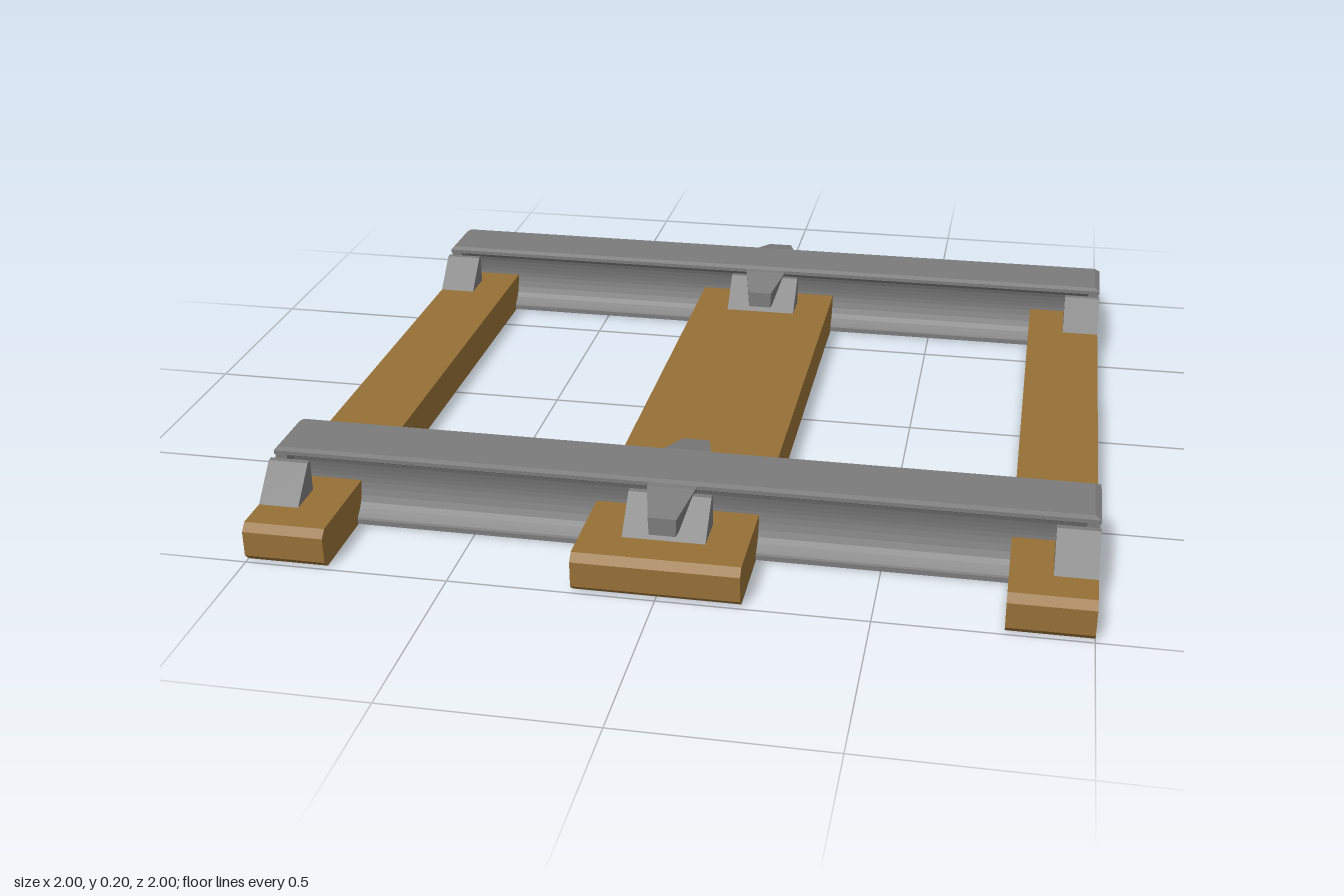
import * as THREE from 'three';
import { ConvexGeometry } from 'three/addons/geometries/ConvexGeometry.js';

const wood = new THREE.MeshStandardMaterial({ color: 0x966f36 });
wood.name = 'wood';
const steel = new THREE.MeshStandardMaterial({ color: 0x7b7b7b });
steel.name = 'steel';

// Extrudes a [z, y] profile along x from x0 to x1
function prism(points, x0, x1) {
  const shape = new THREE.Shape(points.map(([z, y]) => new THREE.Vector2(-z, y)));
  const geo = new THREE.ExtrudeGeometry(shape, { depth: x1 - x0, bevelEnabled: false });
  return geo.rotateY(Math.PI / 2).translate(x0, 0, 0);
}

function add(parent, name, geo, material) {
  const mesh = new THREE.Mesh(geo, material);
  mesh.name = name;
  parent.add(mesh);
  return mesh;
}

// Mirrors a half profile [z, y] listed from bottom to top
function mirrored(half) {
  return [...half, ...half.map(([z, y]) => [-z, y]).reverse()];
}

function makeRail() {
  const rail = new THREE.Group();
  rail.name = 'rail';

  // Foot and concave web
  const curve = new THREE.SplineCurve([
    [0.078, 0.02], [0.05, 0.045], [0.034, 0.09], [0.034, 0.125], [0.045, 0.16], [0.07, 0.18],
  ].map(([z, y]) => new THREE.Vector2(z, y)));
  const half = [[0.08, 0.002], [0.08, 0.015], ...curve.getPoints(14).map((p) => [p.x, p.y])];
  add(rail, 'railWeb', prism(mirrored(half), -0.985, 0.985), steel);

  // Head with bevelled ends and edges
  const head = [];
  for (const sx of [-1, 1]) {
    for (const sz of [-1, 1]) {
      head.push(new THREE.Vector3(sx, 0.18, 0.082 * sz));
      head.push(new THREE.Vector3(sx, 0.19, 0.082 * sz));
      head.push(new THREE.Vector3(0.985 * sx, 0.2, 0.078 * sz));
    }
  }
  add(rail, 'railHead', new ConvexGeometry(head), steel);

  // Solid end blocks
  for (const s of [-1, 1]) {
    const block = new THREE.BoxGeometry(0.03, 0.085, 0.16).translate(0.983 * s, 0.1415, 0);
    add(rail, 'railEnd', block, steel);
  }

  for (const s of [-1, 1]) {
    // Sloping shoulder wedges on every sleeper
    const wedge = [[0.1 * s, 0.1], [0.1 * s, 0.18], [0.115 * s, 0.18], [0.195 * s, 0.1]];
    for (const [x0, x1] of [[-1, -0.9], [-0.1, 0.1], [0.9, 1]]) {
      add(rail, 'shoulderWedge', prism(wedge, x0, x1), steel);
    }
    // Tapered clip over the middle wedge
    const clip = [];
    for (const sx of [-1, 1]) {
      clip.push(new THREE.Vector3(0.06 * sx, 0.19, 0.06 * s));
      clip.push(new THREE.Vector3(0.04 * sx, 0.11, 0.06 * s));
      clip.push(new THREE.Vector3(0.058 * sx, 0.19, 0.1 * s));
      clip.push(new THREE.Vector3(0.034 * sx, 0.165, 0.207 * s));
      clip.push(new THREE.Vector3(0.032 * sx, 0.12, 0.207 * s));
    }
    add(rail, 'railClip', new ConvexGeometry(clip), steel);
  }
  return rail;
}

export function createModel() {
  const model = new THREE.Group();
  model.name = 'trackSection';

  // Sleepers with chamfered ends
  const b = 0.018;
  for (const [x0, x1, y] of [[-1, -0.8, 0], [-0.2, 0.2, 0.002], [0.8, 1, 0]]) {
    const half = [[1 - b, y], [1, b], [1, 0.1 - b], [1 - b, 0.1]];
    add(model, 'sleeper', prism(mirrored(half), x0, x1), wood);
  }

  for (const s of [-1, 1]) {
    const rail = makeRail();
    rail.position.z = 0.7 * s;
    model.add(rail);

    // Thin plate under the middle sleeper
    const plate = new THREE.Shape([
      [-0.2, 0.98], [0.2, 0.98], [0.2, 0.5], [0.08, 0.4], [-0.08, 0.4], [-0.2, 0.5],
    ].map(([x, z]) => new THREE.Vector2(x, z * s)));
    const geo = new THREE.ExtrudeGeometry(plate, { depth: 0.004, bevelEnabled: false });
    add(model, 'basePlate', geo.rotateX(Math.PI / 2).translate(0, 0.004, 0), steel);
  }
  return model;
}
